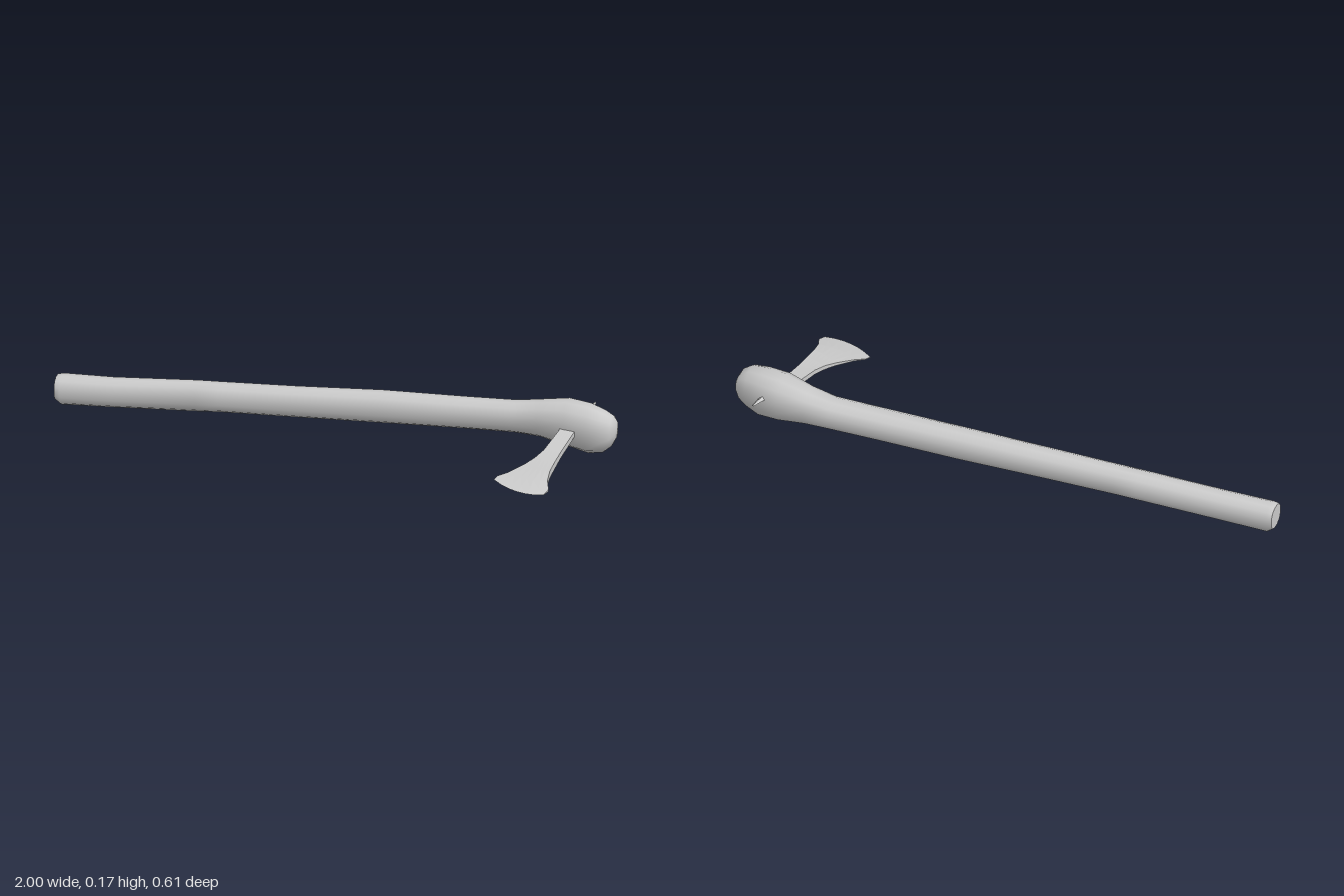
import * as THREE from 'three';

const grey = new THREE.MeshStandardMaterial({ color: 0xcccccc });
const greyFlat = new THREE.MeshStandardMaterial({ color: 0xcccccc, flatShading: true });

// Skin closed rings of points (each [x, y, z]); ends are capped with their own vertices.
function loft(rings) {
  const n = rings[0].length, pos = rings.flat(2), index = [];
  for (let r = 0; r < rings.length - 1; r++) {
    for (let i = 0; i < n; i++) {
      const a = r * n + i, b = r * n + (i + 1) % n;
      index.push(a, b, a + n, b, b + n, a + n);
    }
  }
  [rings[0], rings[rings.length - 1]].forEach((ring, end) => {
    const base = pos.length / 3;
    pos.push(...ring.flat());
    for (let i = 1; i < n - 1; i++) {
      index.push(base, base + (end ? i : i + 1), base + (end ? i + 1 : i));
    }
  });
  const g = new THREE.BufferGeometry();
  g.setAttribute('position', new THREE.Float32BufferAttribute(pos, 3));
  g.setIndex(index);
  g.computeVertexNormals();
  return g;
}

// Slightly squared ring across x, fitted to a y and z range
function handleRing(x, y0, y1, z0, z1) {
  const sides = 12, power = 0.88, fit = 0.5 / Math.cos(Math.PI / sides) ** power;
  const soften = (v) => Math.sign(v) * Math.abs(v) ** power * fit;
  const ring = [];
  for (let i = 0; i < sides; i++) {
    const a = (i + 0.5) * 2 * Math.PI / sides;
    ring.push([x, (y0 + y1) / 2 + soften(Math.cos(a)) * (y1 - y0), (z0 + z1) / 2 + soften(Math.sin(a)) * (z1 - z0)]);
  }
  return ring;
}

export function createModel() {
  const group = new THREE.Group();
  const add = (name, geometry, material) => {
    const mesh = new THREE.Mesh(geometry, material);
    mesh.name = name;
    group.add(mesh);
  };

  // Wooden handle swelling into a rounded head: x, yMin, yMax, zMin, zMax
  const sections = [
    [-1, 0.02, 0.104, -0.216, -0.126],
    [-0.98, 0.004, 0.109, -0.22, -0.122],
    [-0.8, 0.009, 0.11, -0.221, -0.124],
    [-0.5, 0.018, 0.123, -0.227, -0.134],
    [-0.42, 0.022, 0.124, -0.23, -0.135],
    [-0.15, 0.026, 0.13, -0.237, -0.138],
    [0.15, 0.03, 0.14, -0.248, -0.144],
    [0.45, 0.036, 0.142, -0.252, -0.144],
    [0.63, 0.037, 0.145, -0.254, -0.145],
    [0.72, 0.033, 0.158, -0.255, -0.132],
    [0.82, 0.016, 0.175, -0.256, -0.1],
    [0.9, 0.002, 0.17, -0.235, -0.086],
    [0.955, 0.013, 0.157, -0.21, -0.082],
    [0.985, 0.036, 0.14, -0.196, -0.1],
    [0.997, 0.06, 0.118, -0.182, -0.122],
    [1, 0.087, 0.093, -0.155, -0.149],
  ];
  add('handle', loft(sections.map((s) => handleRing(...s))), grey);

  // Flared blade: left x, left z, right x, right z, edge bulge, left and right half thickness
  const rows = [
    [0.81, -0.17, 0.87, -0.17, 0, 0.01, 0.01],
    [0.807, -0.09, 0.862, -0.09, 0, 0.01, 0.01],
    [0.785, 0.035, 0.848, 0.04, 0, 0.009, 0.011],
    [0.766, 0.085, 0.843, 0.11, 0, 0.008, 0.013],
    [0.742, 0.125, 0.84, 0.17, 0.008, 0.006, 0.013],
    [0.695, 0.183, 0.845, 0.225, 0.018, 0.003, 0.009],
    [0.664, 0.208, 0.86, 0.27, 0.026, 0.0015, 0.004],
    [0.655, 0.232, 0.85, 0.302, 0.028, 0.0005, 0.0005],
  ];
  const steps = 6;
  const bladeRings = rows.map(([x0, z0, x1, z1, bulge, h0, h1]) => {
    const upper = [], lower = [];
    for (let i = 0; i <= steps; i++) {
      const t = i / steps;
      const x = x0 + (x1 - x0) * t;
      const z = z0 + (z1 - z0) * t + bulge * 4 * t * (1 - t);
      const y = 0.065 - 0.2 * z;
      const h = h0 + (h1 - h0) * t;
      upper.unshift([x, y + h, z]);
      lower.push([x, y - h, z]);
    }
    return [...upper, ...lower];
  });
  add('blade', loft(bladeRings), greyFlat);

  // Short spike at the back of the head, tapering to a point
  const spikeRing = (x, y, z, w, h) => [[x, y - h, z], [x + w, y, z], [x, y + h, z], [x - w, y, z]];
  add('spike', loft([
    spikeRing(0.885, 0.126, -0.305, 0.004, 0.002),
    spikeRing(0.88, 0.118, -0.265, 0.009, 0.007),
    spikeRing(0.875, 0.111, -0.235, 0.013, 0.01),
    spikeRing(0.87, 0.1, -0.19, 0.015, 0.012),
  ]), greyFlat);

  return group;
}
